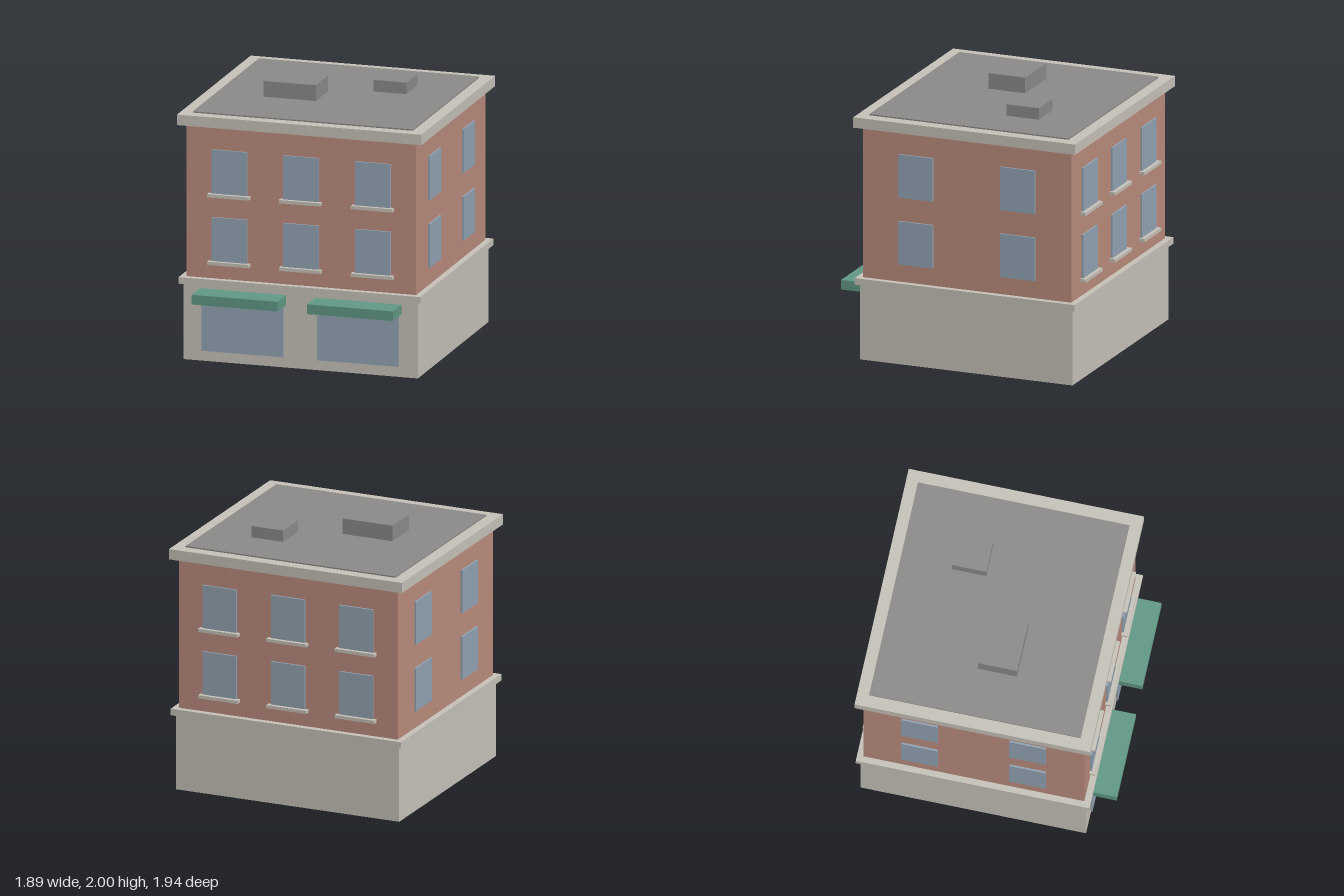
import * as THREE from 'three';

const material = (name, color) => {
  const m = new THREE.MeshStandardMaterial({ color });
  m.name = name;
  return m;
};

export function createModel() {
  const model = new THREE.Group();
  model.name = 'cornerShopBuilding';

  const stone = material('stone', 0xc8c4bb);
  const brick = material('brick', 0xbc8d7e);
  const glass = material('glass', 0x94a5b5);
  const awningGreen = material('awningGreen', 0x629a86);
  const roofGrey = material('roofGrey', 0x8e8c8a);
  stone.side = THREE.DoubleSide; // the ground floor shell is open underneath

  // Box given by its limits on each axis
  const box = (name, mat, [x0, x1], [y0, y1], [z0, z1]) => {
    const mesh = new THREE.Mesh(new THREE.BoxGeometry(x1 - x0, y1 - y0, z1 - z0), mat);
    mesh.position.set((x0 + x1) / 2, (y0 + y1) / 2, (z0 + z1) / 2);
    mesh.name = name;
    model.add(mesh);
    return mesh;
  };

  // Stacked storeys, all centred on the same depth
  const midZ = -0.082;
  const storey = (name, mat, halfX, halfZ, y) =>
    box(name, mat, [-halfX, halfX], y, [midZ - halfZ, midZ + halfZ]);

  // Ground floor: four walls only, without top and bottom faces
  const ground = storey('groundFloorWalls', stone, 0.907, 0.85, [0, 0.58]);
  const index = Array.from(ground.geometry.index.array);
  ground.geometry.setIndex([...index.slice(0, 12), ...index.slice(24)]);
  ground.geometry.clearGroups();

  storey('beltCourse', stone, 0.935, 0.88, [0.58, 0.63]);
  storey('upperWalls', brick, 0.888, 0.833, [0.63, 1.79]);
  storey('cornice', stone, 0.945, 0.887, [1.79, 1.87]);
  storey('roofDeck', roofGrey, 0.852, 0.797, [1.86, 1.88]);

  // Rooftop units
  box('rooftopUnitLarge', roofGrey, [-0.483, -0.079], [1.87, 2], [-0.138, 0.157]);
  box('rooftopUnitSmall', roofGrey, [0.24, 0.497], [1.87, 1.968], [-0.492, -0.232]);

  // Upper windows, with sills on the front and back only
  for (const y of [0.765, 1.28]) {
    const height = [y, y + 0.333];
    for (const side of [-1, 1]) {
      const out = (a, b) => [midZ + side * a, midZ + side * b].sort((p, q) => p - q);
      for (const x of [-0.555, 0, 0.555]) {
        box('window', glass, [x - 0.137, x + 0.137], height, out(0.825, 0.847));
        box('windowSill', stone, [x - 0.161, x + 0.161], [y - 0.025, y], out(0.825, 0.876));
      }
      for (const z of [midZ - 0.407, midZ + 0.407]) {
        const across = [side * 0.88, side * 0.902].sort((p, q) => p - q);
        box('sideWindow', glass, across, height, [z - 0.138, z + 0.138]);
      }
    }
  }

  // Shop windows and their awnings
  for (const x of [-0.446, 0.446]) {
    box('shopWindow', glass, [x - 0.316, x + 0.316], [0.08, 0.48], [0.769, 0.785]);
    box('awning', awningGreen, [x - 0.333, x + 0.333], [0.478, 0.552], [0.769, 0.972]);
  }

  return model;
}
